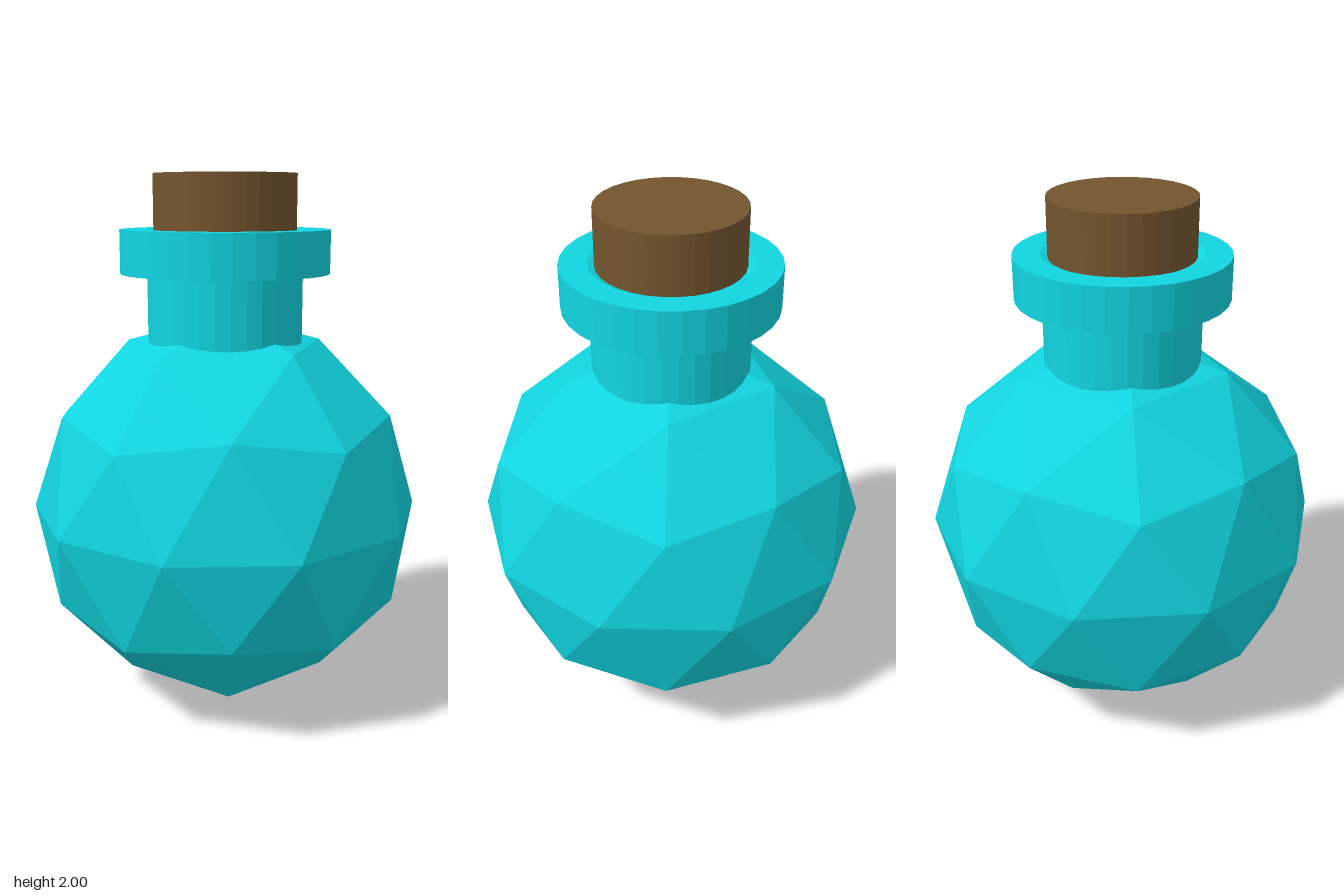
import * as THREE from 'three';

const SIDES = 32;
const glass = new THREE.MeshStandardMaterial({ color: 0x11d5e0, flatShading: true });
const corkBrown = new THREE.MeshStandardMaterial({ color: 0x73552f, flatShading: true });

function part(name, geometry, material, y = 0) {
  const mesh = new THREE.Mesh(geometry, material);
  mesh.name = name;
  mesh.position.y = y;
  return mesh;
}

export function createModel() {
  const group = new THREE.Group();
  group.name = 'corkedBottle';

  // Faceted round body: icosphere turned so that it stands on one corner
  const radius = 0.743;
  const goldenRatio = (1 + Math.sqrt(5)) / 2;
  const body = new THREE.IcosahedronGeometry(radius, 1);
  body.rotateZ(-Math.atan(1 / goldenRatio));
  group.add(part('body', body, glass, radius));

  // Neck and wide lip in one turned profile, dipping slightly at the mouth
  const profile = [
    [0.29, 1.3], [0.29, 1.64], [0.39, 1.64], [0.39, 1.8], [0.29, 1.8], [0.255, 1.785],
  ].map(([r, y]) => new THREE.Vector2(r, y));
  group.add(part('neckAndLip', new THREE.LatheGeometry(profile, SIDES), glass));

  // Cork stopper, sunk into the mouth
  const cork = new THREE.CylinderGeometry(0.265, 0.265, 0.3, SIDES);
  group.add(part('cork', cork, corkBrown, 1.85));

  return group;
}
